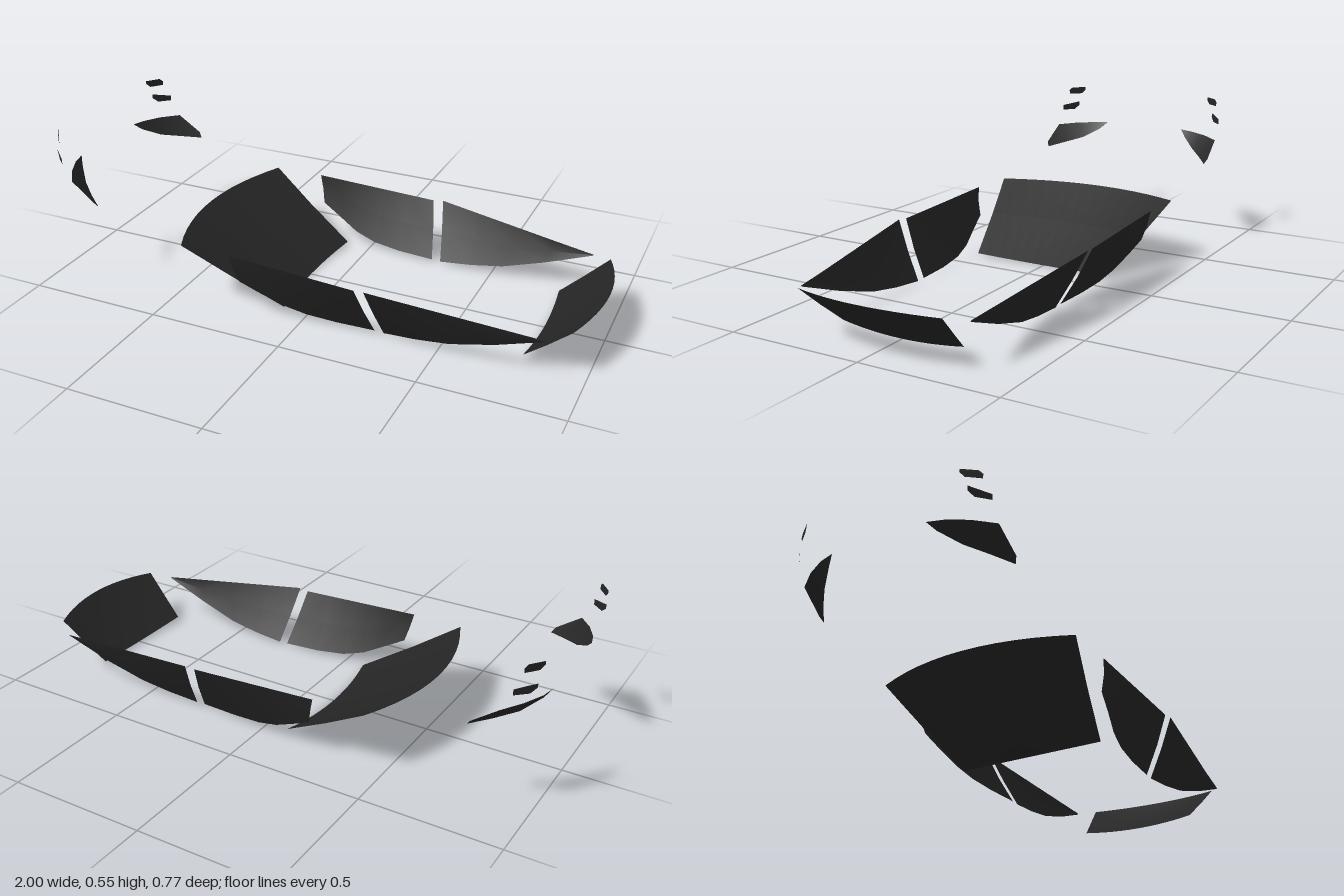
import * as THREE from 'three';

// Smooth open sheet through rows of points, each row holding the same number of [x, y, z]
function sheet(rows, flip) {
  const n = rows[0].length, index = [];
  for (let r = 0; r < rows.length - 1; r++) {
    for (let c = 0; c < n - 1; c++) {
      const a = r * n + c, b = a + 1, d = a + n, e = d + 1;
      if (flip) index.push(a, d, b, b, d, e);
      else index.push(a, b, d, b, e, d);
    }
  }
  const geo = new THREE.BufferGeometry();
  geo.setAttribute('position', new THREE.Float32BufferAttribute(rows.flat(2), 3));
  geo.setIndex(index);
  geo.computeVertexNormals();
  return geo;
}

// Curved screen across the car; each row is [centre x, centre y, edge x, edge y, half width]
function screen(rows) {
  const steps = 12;
  return sheet(rows.map(([xc, yc, xe, ye, w]) =>
    Array.from({ length: steps + 1 }, (_, i) => {
      const t = (i / steps) * 2 - 1;
      return [xc + (xe - xc) * t * t, yc + (ye - yc) * t * t, w * t];
    })));
}

// Side panel spanned between an upper and a lower edge, with a slight outward bulge
function panel(upper, lower, bulge, side) {
  const rows = [0, 0.5, 1].map(t => lower.map((p, i) => {
    const q = p.map((v, k) => v + (upper[i][k] - v) * t);
    return [q[0], q[1], side * (q[2] + 4 * t * (1 - t) * bulge)];
  }));
  return sheet(rows, side < 0);
}

// Evenly spaced points on a straight edge
function edge(a, b, count) {
  return Array.from({ length: count }, (_, i) =>
    a.map((v, k) => v + (b[k] - v) * i / (count - 1)));
}

export function createModel() {
  const group = new THREE.Group();
  const glass = new THREE.MeshStandardMaterial({ color: 0x242424, side: THREE.DoubleSide });
  glass.name = 'darkGlass';
  const add = (name, geo) => {
    const mesh = new THREE.Mesh(geo, glass);
    mesh.name = name;
    group.add(mesh);
  };

  // Front and rear screens
  add('windshield', screen([
    [-0.536, 0.228, -0.445, 0.23, 0.375],
    [-0.34, 0.115, -0.28, 0.125, 0.328],
    [-0.118, 0, -0.09, 0.013, 0.277],
  ]));
  add('rearWindow', screen([
    [1, 0.181, 0.943, 0.17, 0.271],
    [0.905, 0.09, 0.86, 0.093, 0.253],
    [0.79, 0.007, 0.777, 0.02, 0.233],
  ]));

  // Panels found on both sides: name, upper edge, lower edge, bulge
  const panels = [
    ['frontSideWindow',
      edge([-0.253, 0.232, 0.376], [0.227, 0.212, 0.383], 6),
      [[-0.227, 0.125, 0.353], [-0.15, 0.085, 0.337], [-0.07, 0.045, 0.317],
        [0.013, 0.022, 0.303], [0.125, 0.012, 0.292], [0.264, 0.01, 0.283]], 0.005],
    ['rearSideWindow',
      edge([0.264, 0.216, 0.387], [0.868, 0.149, 0.319], 5),
      [[0.298, 0.008, 0.283], [0.42, 0.018, 0.289], [0.54, 0.036, 0.296],
        [0.7, 0.083, 0.309], [0.872, 0.146, 0.318]], 0.004],
    ['headlight',
      [[-0.998, 0.4, 0.175], [-0.985, 0.397, 0.23], [-0.95, 0.394, 0.3],
        [-0.9, 0.388, 0.367], [-0.81, 0.325, 0.373]],
      [[-0.996, 0.398, 0.177], [-0.977, 0.373, 0.201], [-0.925, 0.337, 0.258],
        [-0.86, 0.32, 0.315], [-0.797, 0.306, 0.363]], 0],
    ['innerBumperLamp',
      [[-0.993, 0.482, 0.316], [-0.965, 0.476, 0.34], [-0.936, 0.469, 0.366]],
      [[-0.992, 0.467, 0.314], [-0.975, 0.449, 0.329], [-0.936, 0.449, 0.366]], 0],
    ['outerBumperLamp',
      [[-1, 0.547, 0.289], [-0.965, 0.547, 0.335], [-0.957, 0.535, 0.346]],
      [[-1, 0.535, 0.289], [-0.99, 0.52, 0.302], [-0.957, 0.52, 0.344]], 0],
  ];
  for (const [name, upper, lower, bulge] of panels) {
    for (const side of [1, -1]) {
      add(name + (side > 0 ? 'Front' : 'Back'), panel(upper, lower, bulge, side));
    }
  }
  return group;
}
